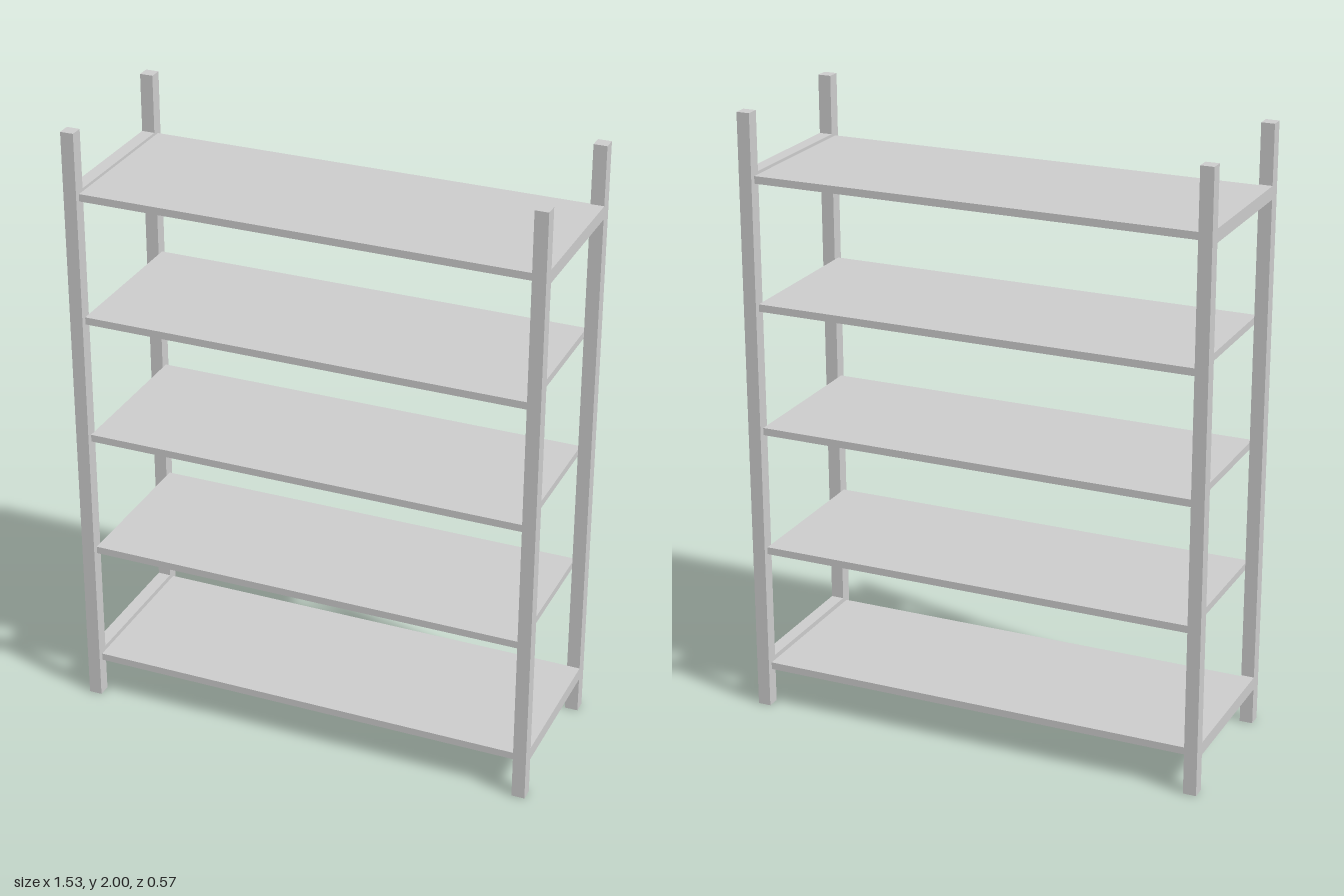
import * as THREE from 'three';

export function createModel() {
  const group = new THREE.Group();
  const material = new THREE.MeshStandardMaterial({ color: 0xcccccc, flatShading: true });

  function box(name, w, h, d, x, y, z) {
    const mesh = new THREE.Mesh(new THREE.BoxGeometry(w, h, d), material);
    mesh.name = name;
    mesh.position.set(x, y, z);
    group.add(mesh);
  }

  const post = 0.043;   // square section of posts and rails
  const postX = 0.746;
  const postZ = 0.264;

  for (const side of [1, -1]) {
    const label = side > 0 ? 'left' : 'right';

    // corner posts
    box(label + 'FrontPost', post, 2, post, side * postX, 1, postZ);
    box(label + 'BackPost', post, 2, post, side * postX, 1, -postZ);

    // end rails joining front and back posts
    const railLength = 2 * postZ - post;
    box(label + 'LowerRail', post, post, railLength, side * postX, 0.144, 0);
    box(label + 'UpperRail', post, post, railLength, side * postX, 1.787, 0);
  }

  // five evenly spaced shelves between the posts
  const shelfWidth = 2 * postX - post;
  for (let i = 0; i < 5; i++) {
    box('shelf' + (i + 1), shelfWidth, 0.024, 0.534, 0, 0.137 + i * 0.4125, 0);
  }

  return group;
}
